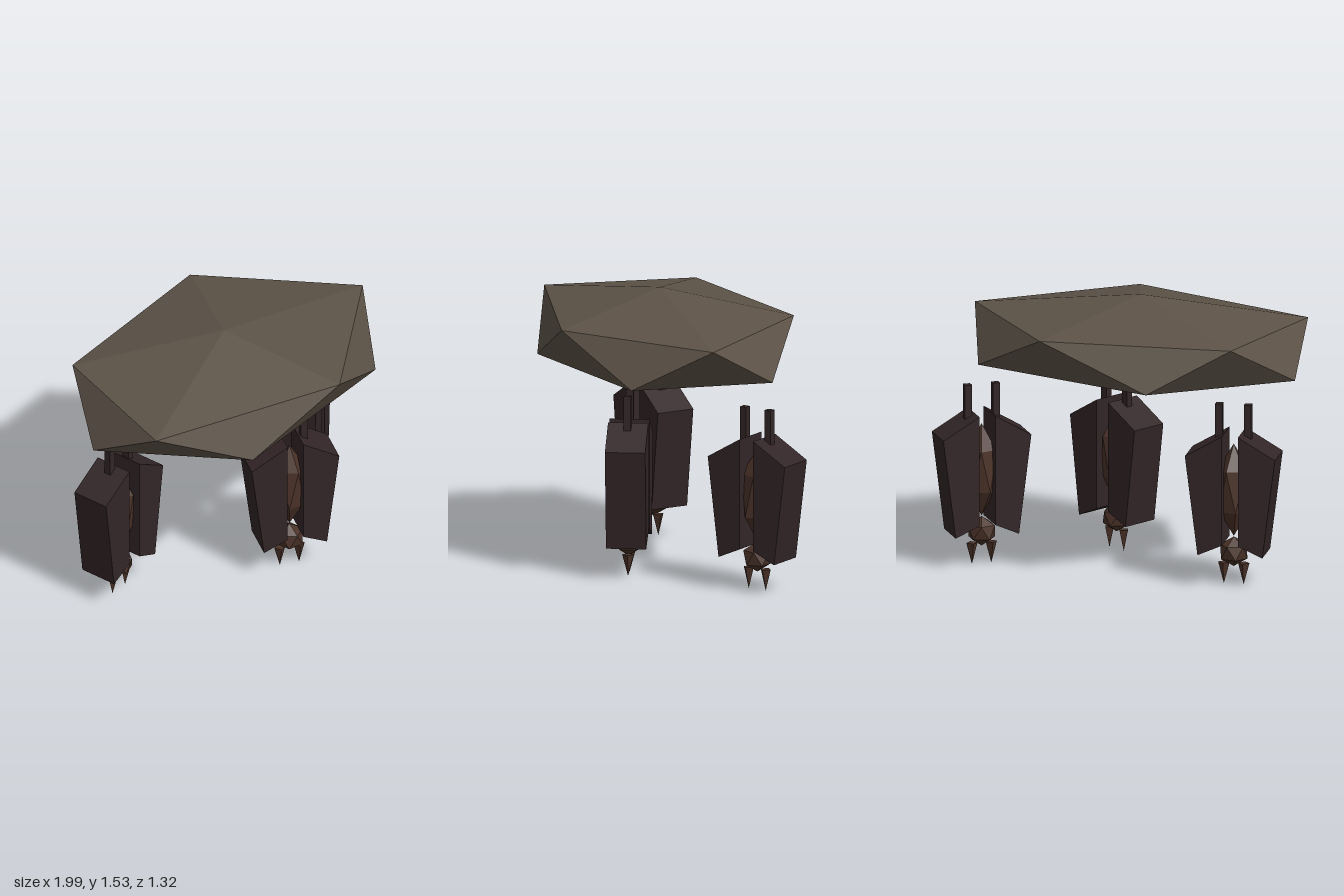
import * as THREE from 'three';

// Twenty-sided stone: two poles and two staggered rings of five [x, y, z] points
function icoGeometry(top, bottom, upper, lower) {
  const tris = [];
  for (let i = 0; i < 5; i++) {
    const j = (i + 1) % 5;
    tris.push(top, upper[j], upper[i]);
    tris.push(upper[i], upper[j], lower[i]);
    tris.push(lower[i], upper[j], lower[j]);
    tris.push(bottom, lower[i], lower[j]);
  }
  const g = new THREE.BufferGeometry();
  g.setAttribute('position', new THREE.Float32BufferAttribute(tris.flat(), 3));
  g.computeVertexNormals();
  return g;
}

// Regular version of the same solid, scaled to a radius and half height
function ellipsoidIco(r, h) {
  const ring = (y, turn) => Array.from({ length: 5 }, (_, i) => {
    const a = (i + turn) * Math.PI * 2 / 5;
    return [Math.cos(a) * 0.894 * r, y * h, Math.sin(a) * 0.894 * r];
  });
  return icoGeometry([0, h, 0], [0, -h, 0], ring(0.447, 0), ring(-0.447, 0.5));
}

export function createModel() {
  const model = new THREE.Group();
  model.name = 'hangingBats';
  const material = (name, color) => {
    const m = new THREE.MeshStandardMaterial({ color, flatShading: true });
    m.name = name;
    return m;
  };
  const stone = material('stone', 0x5c5247);
  const darkSkin = material('darkSkin', 0x322527);
  const fur = material('fur', 0x4a3228);

  const add = (parent, name, geometry, mat, x = 0, y = 0, z = 0) => {
    const mesh = new THREE.Mesh(geometry, mat);
    mesh.name = name;
    mesh.position.set(x, y, z);
    parent.add(mesh);
    return mesh;
  };

  // Rock slab
  add(model, 'rock', icoGeometry(
    [-0.08, 1.54, 0.005], [-0.08, 1.0, 0.01],
    [[0.9, 1.395, 0.005], [0.2, 1.405, 0.655], [-0.9, 1.395, 0.415], [-0.8, 1.4, -0.42], [0.23, 1.405, -0.66]],
    [[0.665, 1.155, 0.4], [-0.38, 1.14, 0.615], [-1, 1.15, 0], [-0.38, 1.155, -0.615], [0.71, 1.155, -0.39]]
  ), stone);

  // Folded wing: slanted four-sided outline given a depth
  const wingGeometry = (s) => {
    const pts = [[0.045, 0.865], [0.045, 0.25], [0.18, 0.19], [0.25, 0.745]];
    const shape = new THREE.Shape(pts.map(([x, y]) => new THREE.Vector2(x * s, y)));
    return new THREE.ExtrudeGeometry(shape, { depth: 0.22, bevelEnabled: false }).translate(0, 0, -0.11);
  };
  const wings = { 1: wingGeometry(1), [-1]: wingGeometry(-1) };
  const bodyGeometry = ellipsoidIco(0.095, 0.26);
  const headGeometry = ellipsoidIco(0.085, 0.083);
  const earGeometry = new THREE.ConeGeometry(0.032, 0.12, 4).rotateX(Math.PI);
  const legGeometry = new THREE.BoxGeometry(0.04, 0.225, 0.04);

  // Bat hanging head down
  function addBat(name, x, z, yaw) {
    const bat = new THREE.Group();
    bat.name = name;
    bat.position.set(x, 0, z);
    bat.rotation.y = THREE.MathUtils.degToRad(yaw);
    add(bat, 'body', bodyGeometry, fur, 0, 0.54, 0);
    add(bat, 'head', headGeometry, fur, 0, 0.193, 0);
    for (const s of [1, -1]) {
      const side = s > 0 ? 'left' : 'right';
      add(bat, side + 'Wing', wings[s], darkSkin);
      add(bat, side + 'Ear', earGeometry, fur, s * 0.055, 0.07, 0);
      add(bat, side + 'Leg', legGeometry, darkSkin, s * 0.08, 0.9125, 0);
    }
    model.add(bat);
  }
  addBat('batRight', -0.7, -0.145, 12);
  addBat('batMiddle', 0.17, 0.262, -22);
  addBat('batLeft', 0.73, -0.297, 40);

  return model;
}
